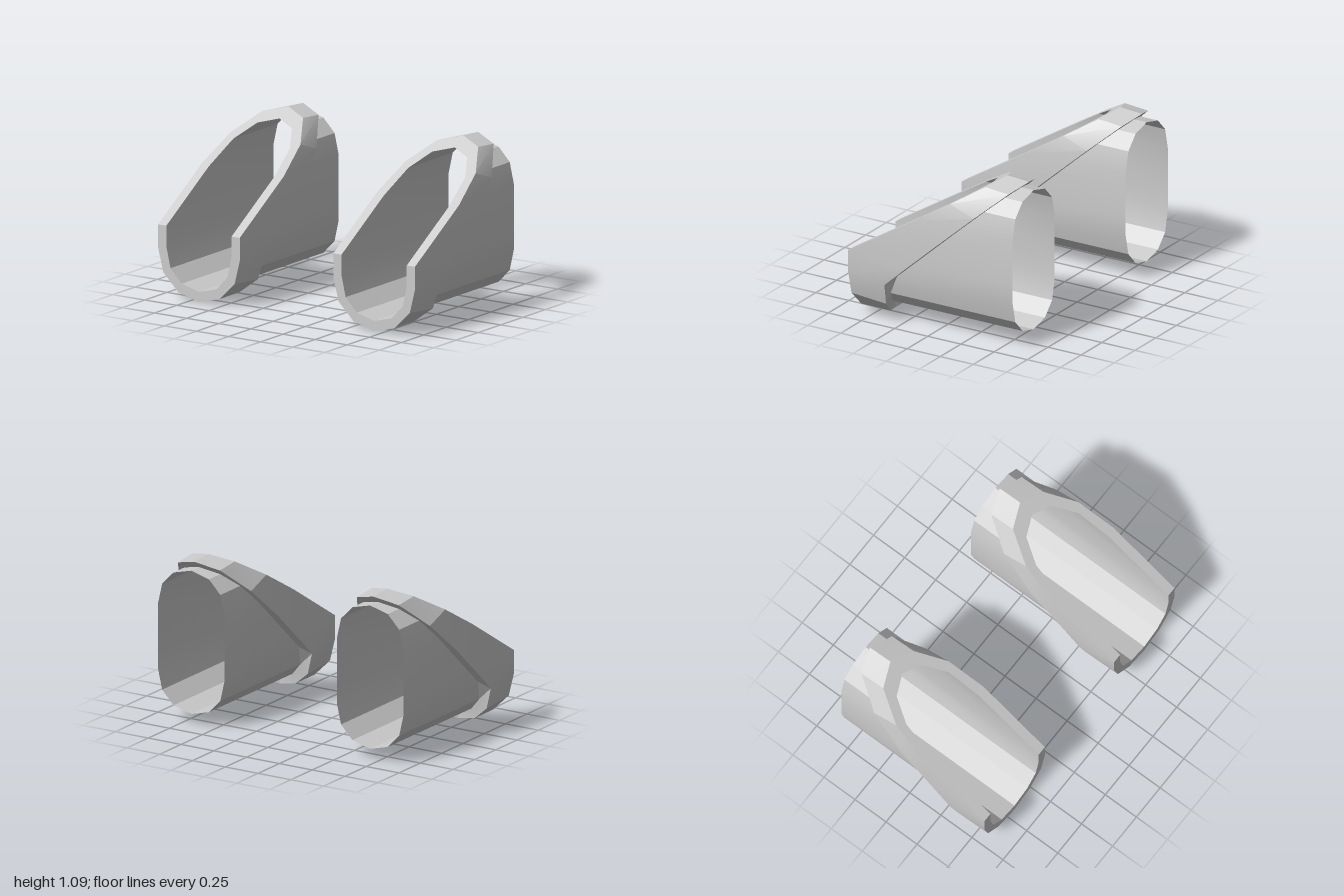
import * as THREE from 'three';
import { toCreasedNormals } from 'three/addons/utils/BufferGeometryUtils.js';

// Half profile from top to bottom:
// [lip half width, lip front y, tube half width, tube y, lip back y, lip back z]
const PROFILE = [
  [0, 1.09, 0, 1.03, 1.08, -0.565],
  [0.16, 1.05, 0.135, 0.995, 1.035, -0.51],
  [0.275, 0.93, 0.222, 0.905, 0.866, -0.32],
  [0.318, 0.775, 0.254, 0.765, 0.642, -0.07],
  [0.318, 0.47, 0.254, 0.47, 0.45, 0.145],
  [0.318, 0.318, 0.254, 0.335, 0.285, 0.327],
  [0.278, 0.16, 0.222, 0.195, 0.14, 0.34],
  [0.16, 0.045, 0.135, 0.105, 0.045, 0.38],
  [0, 0.002, 0, 0.07, 0.002, 0.437],
];

// The mouth is upright below y = 0.47 and slopes back above it
const mouthZ = (y) => 0.6 - Math.max(0, y - 0.47) * 1.613;
// The rear edge of the lip slopes in its own plane
const rearZ = (row) => (row[3] > 0.3 ? 0.327 - (row[3] - 0.285) * 1.12 : row[5]);

// Closed, mirrored loop of points made from the half profile
function makeLoop(toPoint) {
  const half = PROFILE.map(toPoint);
  const mirrored = half.slice(1, -1).reverse().map(([x, y, z]) => [-x, y, z]);
  return [...half, ...mirrored];
}

// Skin of quads between successive loops
function loft(loops) {
  const n = loops[0].length;
  const index = [];
  for (let i = 0; i < loops.length - 1; i++) {
    for (let k = 0; k < n; k++) {
      const a = i * n + k;
      const b = i * n + ((k + 1) % n);
      index.push(a, b, a + n, b, b + n, a + n);
    }
  }
  const geometry = new THREE.BufferGeometry();
  geometry.setAttribute('position', new THREE.Float32BufferAttribute(loops.flat(2), 3));
  geometry.setIndex(index);
  return toCreasedNormals(geometry, 0.3);
}

export function createModel() {
  const model = new THREE.Group();
  model.name = 'pairOfCutTubes';
  const material = new THREE.MeshStandardMaterial({ color: 0xcccccc, side: THREE.DoubleSide });

  const innerMouth = makeLoop((p) => [p[2], p[3], mouthZ(p[3])]);
  const outerMouth = makeLoop((p) => [p[0], p[1], mouthZ(p[1])]);
  const outerRear = makeLoop((p) => [p[0], p[4], p[5]]);
  const innerRear = makeLoop((p) => [p[2], p[3], rearZ(p)]);
  const tubeEnd = makeLoop((p) => [p[2], p[3], -0.6]);

  // Thick lip around the mouth, and the thin open tube behind it
  const lipGeometry = loft([innerMouth, outerMouth, outerRear, innerRear]);
  const tubeGeometry = loft([innerMouth, tubeEnd]);

  for (const side of [1, -1]) {
    const unit = new THREE.Group();
    unit.name = side > 0 ? 'leftTubeUnit' : 'rightTubeUnit';
    const lip = new THREE.Mesh(lipGeometry, material);
    lip.name = 'lip';
    const tube = new THREE.Mesh(tubeGeometry, material);
    tube.name = 'tube';
    unit.add(lip, tube);
    unit.position.x = side * 0.682;
    model.add(unit);
  }
  return model;
}
